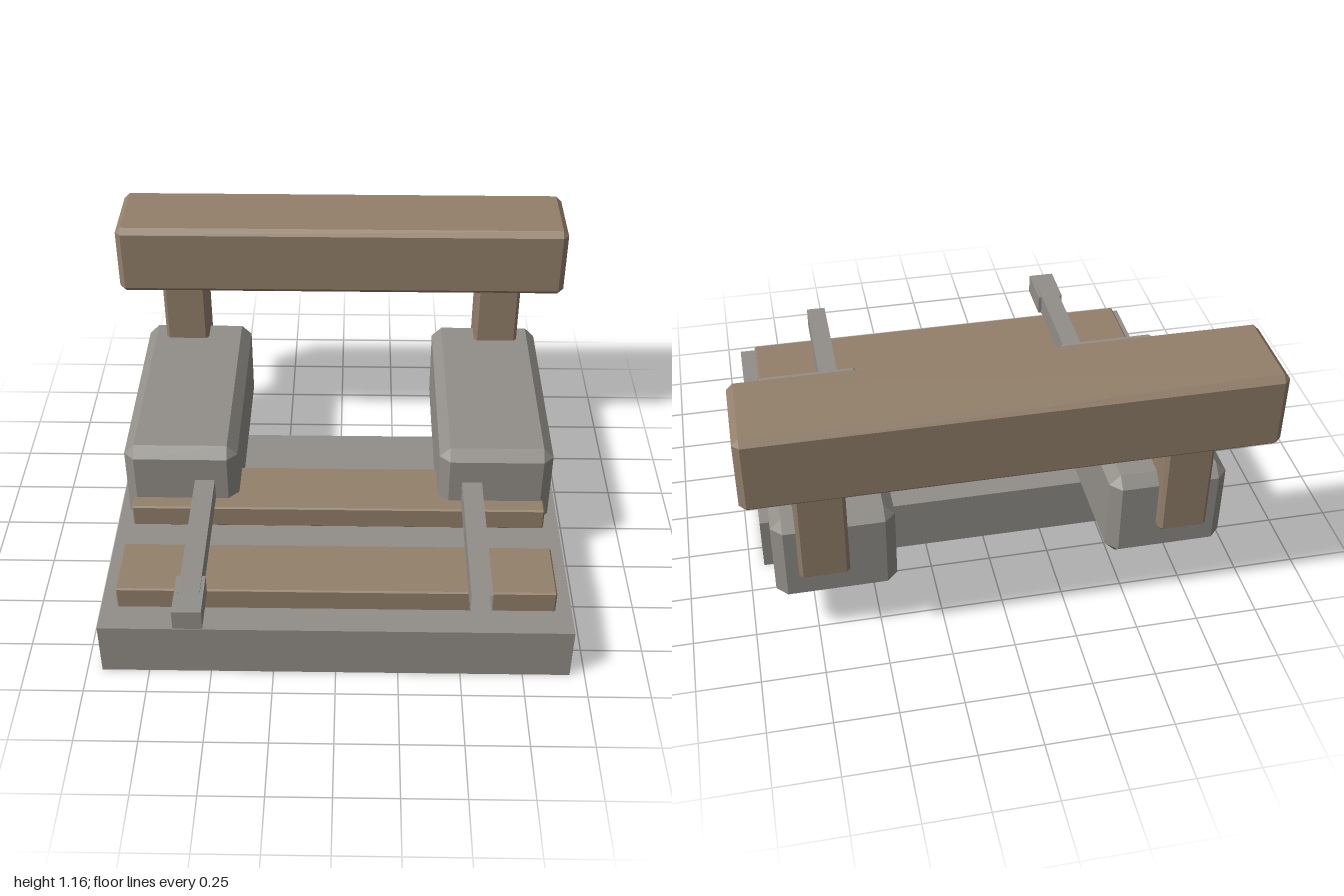
import * as THREE from 'three';
import { ConvexGeometry } from 'three/addons/geometries/ConvexGeometry.js';

const stone = new THREE.MeshStandardMaterial({ color: 0x928f89, side: THREE.DoubleSide });
stone.name = 'stone';
const wood = new THREE.MeshStandardMaterial({ color: 0x93806b });
wood.name = 'wood';

// Box between two corners with every edge bevelled by c
function bevelBox(min, max, c) {
  const points = [];
  for (let corner = 0; corner < 8; corner++) {
    for (let axis = 0; axis < 3; axis++) {
      const p = [0, 1, 2].map((i) => {
        const high = (corner >> i) & 1;
        const inset = i === axis ? 0 : c;
        return high ? max[i] - inset : min[i] + inset;
      });
      points.push(new THREE.Vector3(...p));
    }
  }
  return new ConvexGeometry(points);
}

// Plain box between two corners; openFace (0..5 = +x -x +y -y +z -z) is left out
function plainBox(min, max, openFace = -1) {
  const size = max.map((v, i) => v - min[i]);
  const mid = max.map((v, i) => (v + min[i]) / 2);
  const geometry = new THREE.BoxGeometry(...size).translate(...mid);
  const index = Array.from(geometry.index.array);
  if (openFace >= 0) index.splice(openFace * 6, 6);
  geometry.setIndex(index);
  geometry.clearGroups();
  return geometry;
}

export function createModel() {
  const model = new THREE.Group();
  model.name = 'bench';
  const add = (name, geometry, material) => {
    const mesh = new THREE.Mesh(geometry, material);
    mesh.name = name;
    model.add(mesh);
  };

  // Base, open underneath
  add('base', plainBox([-0.94, 0, -0.36], [0.94, 0.235, 0.885], 3), stone);

  // Planks lying across the base
  add('backPlank', bevelBox([-0.873, 0.237, 0], [0.873, 0.338, 0.275], 0.006), wood);
  add('frontPlank', bevelBox([-0.873, 0.237, 0.5], [0.873, 0.338, 0.77], 0.006), wood);

  // Side blocks, posts and rails, mirrored
  for (const [side, s] of [['left', 1], ['right', -1]]) {
    const span = (a, b) => (s > 0 ? [a, b] : [-b, -a]);
    const [b0, b1] = span(0.425, 0.902);
    add(side + 'Block', bevelBox([b0, 0.19, -0.785], [b1, 0.587, 0.21], 0.043), stone);
    const [p0, p1] = span(0.615, 0.81);
    add(side + 'Post', bevelBox([p0, 0.345, -0.833], [p1, 0.9, -0.638], 0.014), wood);
    const [r0, r1] = span(0.522, 0.606);
    add(side + 'Rail', plainBox([r0, 0.341, 0.1], [r1, 0.437, 0.885], 4), stone);
  }

  // Sleeve on the end of the right rail
  add('rightRailEnd', plainBox([-0.622, 0.342, 0.785], [-0.508, 0.43, 0.985]), stone);

  // Heavy beam carried by the posts
  add('beam', bevelBox([-1, 0.845, -0.985], [1, 1.165, -0.615], 0.025), wood);

  return model;
}
